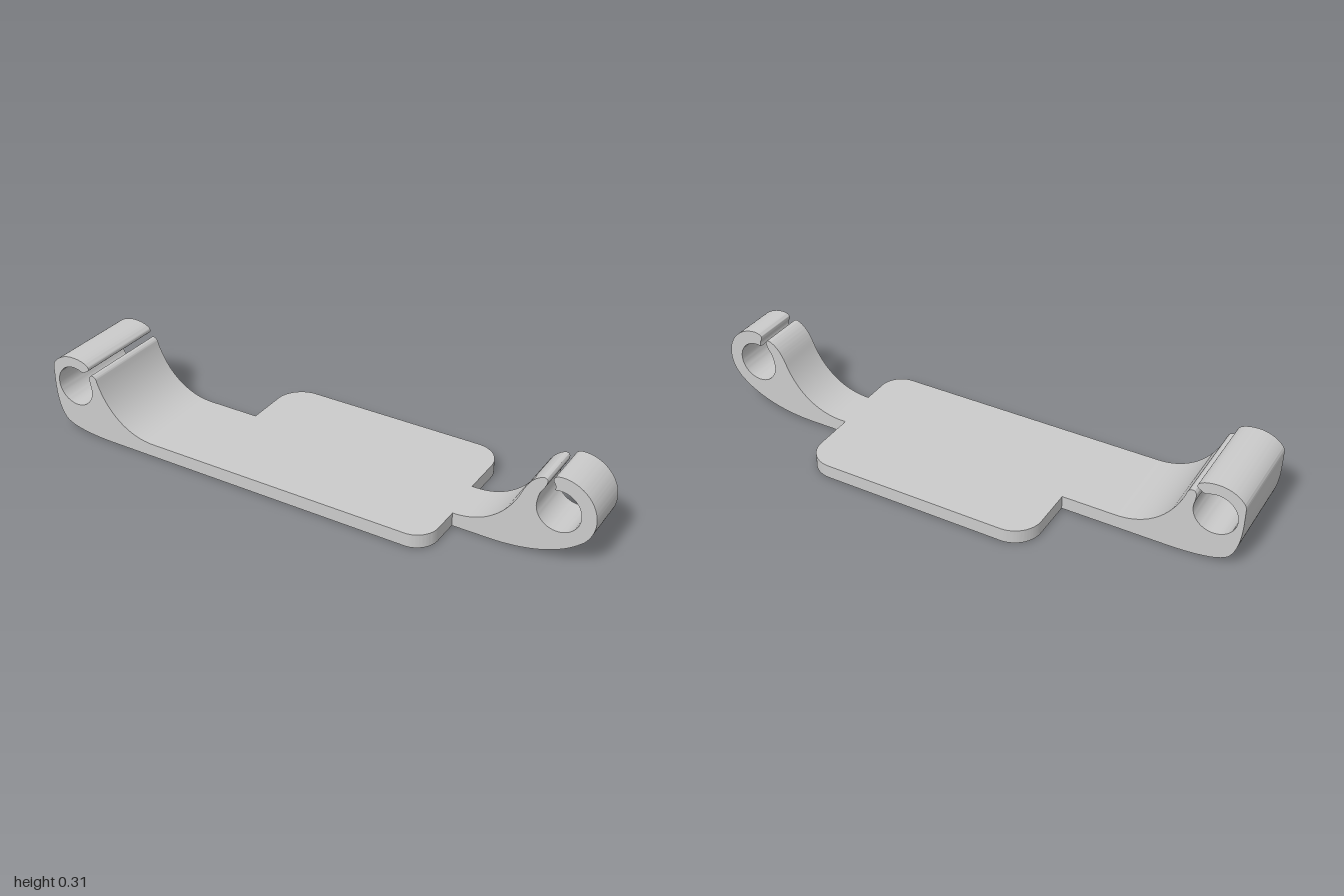
import * as THREE from 'three';
import { toCreasedNormals } from 'three/addons/utils/BufferGeometryUtils.js';

const material = new THREE.MeshStandardMaterial({ color: 0xcccccc });
const T = 0.05;      // plate thickness
const HOLE = 0.075;  // clip bore radius
const HOLE_Y = 0.187;
const rad = THREE.MathUtils.degToRad;

function extrude(name, shape, depth) {
  const raw = new THREE.ExtrudeGeometry(shape, { depth, bevelEnabled: false, curveSegments: 24 });
  const mesh = new THREE.Mesh(toCreasedNormals(raw, rad(35)), material);
  mesh.name = name;
  return mesh;
}

// Flat plate with rounded free corners, drawn in x and -z
function plateShape() {
  const s = new THREE.Shape();
  s.moveTo(-0.375, -0.3);
  s.lineTo(0.435, -0.3);
  s.absarc(0.435, -0.22, 0.08, -Math.PI / 2, 0, false);
  s.lineTo(0.515, 0.05);
  s.lineTo(0.5, 0.05);
  s.lineTo(0.5, 0.2);
  s.absarc(0.4, 0.2, 0.1, 0, Math.PI / 2, false);
  s.lineTo(-0.275, 0.3);
  s.absarc(-0.275, 0.2, 0.1, Math.PI / 2, Math.PI, false);
  s.closePath();
  return s;
}

// Wide arm with square-backed clip at -x
function wideClipShape() {
  const s = new THREE.Shape();
  s.moveTo(-0.375, 0);
  s.lineTo(-0.375, T);
  s.lineTo(-0.57, T);
  s.bezierCurveTo(-0.67, T, -0.76, 0.11, -0.803, 0.23);
  // rounded lower lip
  s.bezierCurveTo(-0.808, 0.258, -0.835, 0.258, -0.837, 0.235);
  s.lineTo(-0.834, 0.21);
  s.absarc(-0.905, HOLE_Y, HOLE, rad(18), rad(65), true);
  // hooked upper lip
  s.quadraticCurveTo(-0.862, 0.25, -0.85, 0.26);
  s.bezierCurveTo(-0.83, 0.268, -0.83, 0.282, -0.858, 0.294);
  s.bezierCurveTo(-0.9, 0.308, -0.955, 0.304, -0.99, 0.265);
  s.quadraticCurveTo(-1, 0.255, -1, 0.24);
  s.lineTo(-1, 0.19);
  s.bezierCurveTo(-1, 0.12, -0.99, 0.07, -0.965, 0.04);
  s.bezierCurveTo(-0.935, 0.01, -0.85, 0.002, -0.77, 0);
  s.closePath();
  return s;
}

// Narrow arm with round clip at +x
function narrowClipShape() {
  const cx = 0.874;
  const s = new THREE.Shape();
  s.moveTo(0.515, 0);
  s.lineTo(0.65, 0);
  s.bezierCurveTo(0.77, 0, 0.89, 0.03, 0.962, 0.099);
  s.absarc(cx, HOLE_Y, 0.125, rad(-45), rad(88), false);
  // hooked upper lip
  s.bezierCurveTo(0.855, 0.312, 0.84, 0.3, 0.853, 0.283);
  s.quadraticCurveTo(0.86, 0.272, 0.855, 0.26);
  s.absarc(cx, HOLE_Y, HOLE, rad(105), rad(165), true);
  // rounded lower lip
  s.quadraticCurveTo(0.803, 0.23, 0.818, 0.25);
  s.bezierCurveTo(0.836, 0.28, 0.832, 0.294, 0.815, 0.292);
  s.bezierCurveTo(0.785, 0.282, 0.765, 0.255, 0.75, 0.22);
  s.bezierCurveTo(0.71, 0.12, 0.63, T, 0.515, T);
  s.closePath();
  return s;
}

export function createModel() {
  const group = new THREE.Group();
  group.name = 'clipBracket';

  const plate = extrude('plate', plateShape(), T);
  plate.rotation.x = -Math.PI / 2;

  const wideClip = extrude('wideClipArm', wideClipShape(), 0.35);
  wideClip.position.z = -0.05;

  const narrowClip = extrude('narrowClipArm', narrowClipShape(), 0.172);
  narrowClip.position.z = -0.05;

  group.add(plate, wideClip, narrowClip);
  return group;
}
